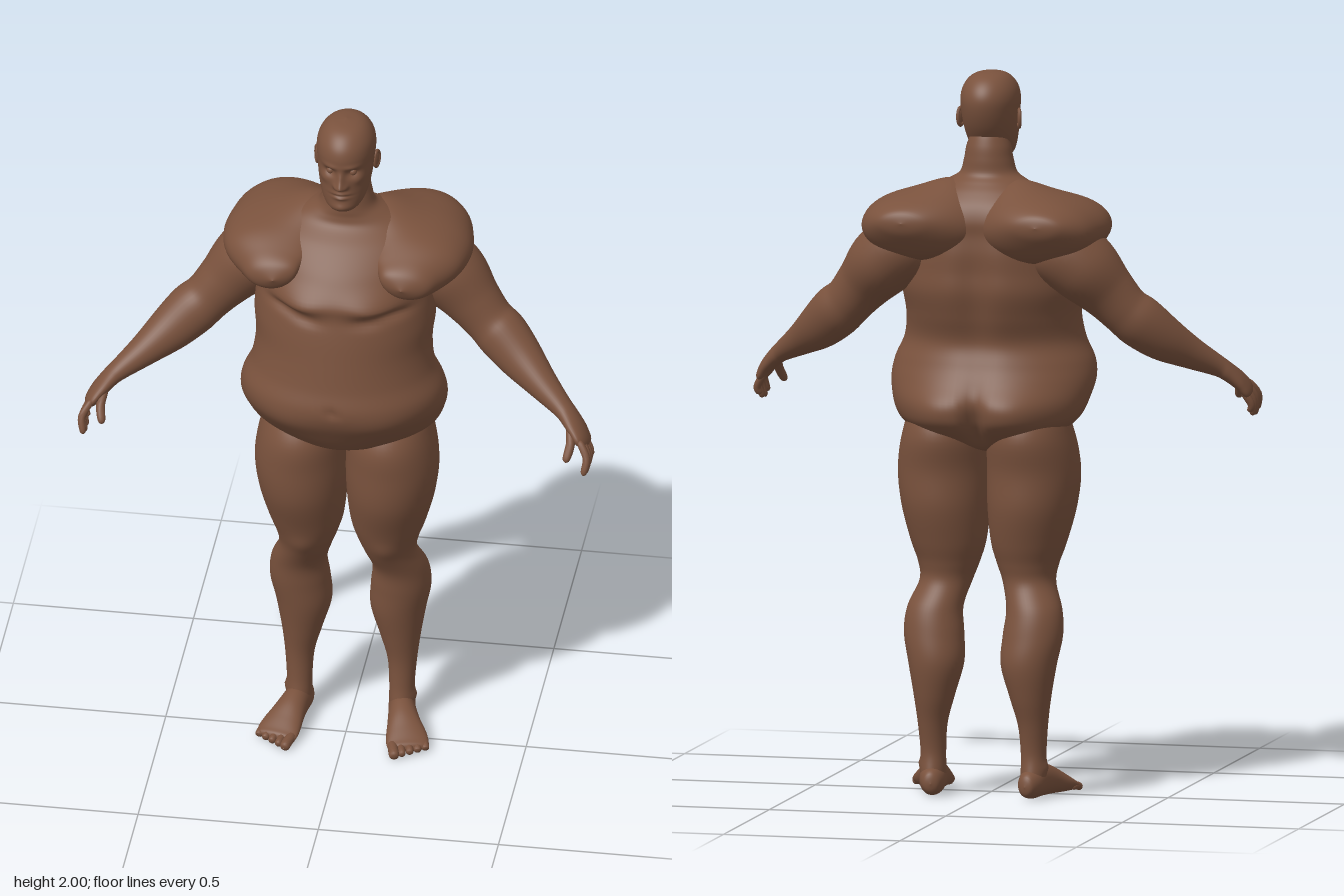
import * as THREE from 'three';

const V = (x, y, z) => new THREE.Vector3(x, y, z);
const UP = V(0, 1, 0), DOWN = V(0, -1, 0), FRONT = V(0, 0, 1);

// Smooth interpolation through a list of equal-length rows
function sample(rows, f) {
  const n = rows.length - 1, i = Math.min(Math.floor(f * n), n - 1), t = f * n - i;
  const at = k => rows[Math.max(0, Math.min(n, k))];
  const [a, b, c, d] = [at(i - 1), at(i), at(i + 1), at(i + 2)];
  return b.map((q, k) => q + 0.5 * t * (c[k] - a[k] + t * (2 * a[k] - 5 * q + 4 * c[k] - d[k]
    + t * (3 * (q - c[k]) + d[k] - a[k]))));
}

// Loft of oval rings; row = [x, y, z, radius along ref, radius across]
// dir: fixed ring normal along the rows, or null to follow the path. bumps: [x,y,z, sx,sy,sz, push x,y,z], mirrored.
function loft(rows, { ref = FRONT, dir = null, seg = 32, rings = 40, bumps = [], side = 1, floor = -1 } = {}) {
  const pos = [], idx = [];
  for (let i = 0; i <= rings; i++) {
    const f = i / rings, s = sample(rows, f);
    const a = sample(rows, Math.max(0, f - 0.01)), b = sample(rows, Math.min(1, f + 0.01));
    const t = dir ? dir.clone() : V(b[0] - a[0], b[1] - a[1], b[2] - a[2]).normalize();
    const u = ref.clone().addScaledVector(t, -ref.dot(t)).normalize();
    const v = t.clone().cross(u);
    for (let j = 0; j < seg; j++) {
      const w = j / seg * Math.PI * 2;
      const p = V(s[0], s[1], s[2])
        .addScaledVector(u, Math.max(s[3], 0.0003) * Math.cos(w))
        .addScaledVector(v, Math.max(s[4], 0.0003) * Math.sin(w));
      const q = p.clone();
      for (const [x, y, z, sx, sy, sz, dx, dy, dz] of bumps) {
        for (const m of x ? [1, -1] : [1]) {
          const g = Math.exp(-(((p.x - m * x) / sx) ** 2) - ((p.y - y) / sy) ** 2 - ((p.z - z) / sz) ** 2);
          q.add(V(dx * m * g, dy * g, dz * g));
        }
      }
      pos.push(q.x * side, Math.max(q.y, floor), q.z);
    }
  }
  for (let i = 0; i < rings; i++) for (let j = 0; j < seg; j++) {
    const k = (j + 1) % seg, a = i * seg + j, b = i * seg + k, c = a + seg, d = b + seg;
    if (side > 0) idx.push(a, b, c, b, d, c);
    else idx.push(a, c, b, b, c, d);
  }
  const geo = new THREE.BufferGeometry();
  geo.setAttribute('position', new THREE.Float32BufferAttribute(pos, 3));
  geo.setIndex(idx);
  geo.computeVertexNormals();
  return geo;
}

// Rounded finger-like shape along three points
const digit = (a, m, b, r, side, floor = -1) => loft([
  [...a, 0, 0], [...a.map((q, k) => q * 0.8 + m[k] * 0.2), r * 0.9, r * 0.9], [...m, r, r],
  [...b.map((q, k) => q * 0.8 + m[k] * 0.2), r * 0.85, r * 0.85], [...b, 0, 0],
], { seg: 12, rings: 16, side, floor });

export function createModel() {
  const model = new THREE.Group();
  const skin = new THREE.MeshStandardMaterial({ color: 0x7a523d });
  skin.name = 'brown skin';
  const add = (name, geo, parent = model) => {
    const mesh = new THREE.Mesh(geo, skin);
    mesh.name = name;
    parent.add(mesh);
    return mesh;
  };

  // Torso and neck
  add('torso', loft([
    [0, 0.945, -0.03, 0, 0], [0, 0.965, -0.03, 0.085, 0.1], [0, 1.0, -0.03, 0.138, 0.19],
    [0, 1.03, -0.03, 0.168, 0.235], [0, 1.06, -0.018, 0.192, 0.26], [0, 1.1, 0.0, 0.213, 0.275],
    [0, 1.15, 0.028, 0.22, 0.285], [0, 1.2, 0.045, 0.215, 0.278], [0, 1.26, 0.046, 0.2, 0.252],
    [0, 1.33, 0.027, 0.206, 0.243], [0, 1.4, 0.01, 0.21, 0.25], [0, 1.46, 0.003, 0.203, 0.246],
    [0, 1.51, -0.003, 0.197, 0.238], [0, 1.56, -0.013, 0.18, 0.235], [0, 1.6, -0.028, 0.163, 0.235],
    [0, 1.64, -0.04, 0.135, 0.215], [0, 1.675, -0.048, 0.098, 0.165], [0, 1.7, -0.04, 0.079, 0.115],
    [0, 1.722, -0.03, 0.068, 0.08], [0, 1.76, -0.03, 0.064, 0.068],
    [0, 1.8, -0.03, 0.058, 0.06], [0, 1.84, -0.03, 0.04, 0.04], [0, 1.85, -0.03, 0, 0],
  ], {
    dir: UP, seg: 96, rings: 132, bumps: [
      [0.11, 1.06, -0.19, 0.09, 0.07, 0.12, 0, 0, -0.03],     // buttocks
      [0, 1.03, -0.21, 0.025, 0.08, 0.1, 0, 0, 0.04],         // cleft
      [0, 1.4, -0.21, 0.05, 0.2, 0.1, 0, 0, 0.022],           // spine
      [0.1, 1.515, 0.18, 0.085, 0.03, 0.1, 0, -0.01, 0.024],  // chest
      [0.085, 1.46, 0.19, 0.045, 0.016, 0.1, 0, 0, -0.01],    // folds under the chest
      [0.155, 1.478, 0.16, 0.05, 0.016, 0.1, 0, 0, -0.016],
      [0, 1.2, 0.26, 0.014, 0.014, 0.05, 0, 0, -0.008],       // navel
      [0.13, 1.14, 0.2, 0.1, 0.05, 0.1, 0, 0, 0.01],          // belly roll
      [0, 1.05, 0.17, 0.13, 0.06, 0.12, 0, -0.025, 0],        // belly sagging in the middle
    ],
  }));

  // Head with face
  const head = new THREE.Group();
  head.name = 'head';
  model.add(head);
  add('skull', loft([
    [0, 1.748, 0.045, 0, 0], [0, 1.752, 0.045, 0.035, 0.03], [0, 1.764, 0.038, 0.056, 0.047],
    [0, 1.785, 0.026, 0.07, 0.06], [0, 1.815, 0.012, 0.085, 0.069], [0, 1.85, 0, 0.098, 0.075],
    [0, 1.89, -0.008, 0.107, 0.079], [0, 1.925, -0.01, 0.11, 0.081], [0, 1.955, -0.01, 0.1, 0.075],
    [0, 1.98, -0.01, 0.077, 0.059], [0, 1.994, -0.01, 0.046, 0.036], [0, 2.0, -0.01, 0, 0],
  ], {
    dir: UP, seg: 128, rings: 110, bumps: [
      [0, 1.848, 0.1, 0.013, 0.013, 0.05, 0, -0.003, 0.022],     // nose tip
      [0, 1.868, 0.1, 0.01, 0.02, 0.05, 0, 0, 0.011],            // nose bridge
      [0.013, 1.843, 0.1, 0.008, 0.008, 0.04, 0.002, 0, 0.007],  // nostrils
      [0.031, 1.882, 0.09, 0.017, 0.012, 0.05, 0, 0, -0.013],    // eye sockets
      [0.03, 1.902, 0.09, 0.022, 0.008, 0.05, 0, 0, 0.005],      // brows
      [0.048, 1.858, 0.07, 0.016, 0.014, 0.05, 0.002, 0, 0.004], // cheekbones
      [0, 1.818, 0.1, 0.022, 0.006, 0.05, 0, 0, 0.006],          // upper lip
      [0, 1.811, 0.1, 0.024, 0.003, 0.05, 0, 0, -0.005],         // mouth line
      [0, 1.804, 0.1, 0.019, 0.006, 0.05, 0, 0, 0.006],          // lower lip
      [0, 1.773, 0.09, 0.022, 0.012, 0.05, 0, 0, 0.006],         // chin
    ],
  }), head);

  for (const side of [1, -1]) {
    const tag = side > 0 ? 'left' : 'right';
    const group = name => {
      const g = new THREE.Group();
      g.name = tag + name;
      model.add(g);
      return g;
    };

    // Eye and ear
    const eye = add(tag + 'Eye', new THREE.SphereGeometry(0.011, 20, 14), head);
    eye.position.set(side * 0.031, 1.882, 0.075);
    const ear = group('Ear');
    const rim = add('earRim', new THREE.TorusGeometry(0.018, 0.005, 8, 24), ear);
    rim.scale.set(0.8, 1.3, 1);
    const bowl = add('earBowl', new THREE.SphereGeometry(0.017, 16, 12), ear);
    bowl.scale.set(0.8, 1.3, 0.3);
    ear.position.set(side * 0.083, 1.87, -0.018);
    ear.rotation.y = side * (Math.PI / 2 - 0.35);

    // Swollen shoulder reaching in to the neck and down over the shoulder blade
    add(tag + 'Shoulder', loft([
      [0.19, 1.6, -0.262, 0, 0], [0.188, 1.598, -0.248, 0.036, 0.07], [0.172, 1.582, -0.19, 0.08, 0.142],
      [0.155, 1.578, -0.11, 0.098, 0.183], [0.158, 1.58, -0.03, 0.094, 0.186], [0.188, 1.58, 0.05, 0.077, 0.138],
      [0.19, 1.568, 0.11, 0.06, 0.09], [0.183, 1.562, 0.15, 0.038, 0.06], [0.178, 1.56, 0.17, 0, 0],
    ], {
      ref: UP, dir: FRONT, seg: 56, rings: 60, side, bumps: [
        [0.08, 1.68, -0.06, 0.09, 0.07, 0.1, 0, 0.036, 0],  // slope up to the neck
        [0.1, 1.56, 0.1, 0.07, 0.06, 0.08, 0, 0.025, 0],    // groove beside the chest
      ],
    }));

    // Arm running into the palm
    const arm = group('Arm');
    add('armAndPalm', loft([
      [0.15, 1.57, -0.085, 0, 0], [0.2, 1.54, -0.085, 0.1, 0.09], [0.28, 1.475, -0.08, 0.108, 0.098],
      [0.345, 1.405, -0.061, 0.078, 0.079], [0.39, 1.355, -0.048, 0.067, 0.07], [0.43, 1.32, -0.032, 0.068, 0.073],
      [0.485, 1.273, 0.002, 0.06, 0.064], [0.55, 1.228, 0.052, 0.046, 0.045],
      [0.61, 1.19, 0.098, 0.034, 0.03], [0.635, 1.172, 0.116, 0.036, 0.025], [0.665, 1.143, 0.142, 0.044, 0.021],
      [0.685, 1.115, 0.16, 0.042, 0.016], [0.692, 1.1, 0.166, 0, 0],
    ], { seg: 36, rings: 78, side }));
    for (let i = 0; i < 4; i++) {
      const o = (i - 1.5) * 0.021, len = [0.056, 0.07, 0.072, 0.06][i];
      add('finger', digit(
        [0.676, 1.13 + o * 0.3, 0.156 + o], [0.7, 1.088 + o * 0.3, 0.176 + o * 1.2],
        [0.694, 1.112 - len, 0.19 + o * 1.35], 0.0105, side), arm);
    }
    add('thumb', digit([0.645, 1.16, 0.145], [0.652, 1.125, 0.19], [0.643, 1.085, 0.225], 0.0125, side), arm);

    // Leg, from the hip down
    const leg = group('Leg');
    add('thighAndCalf', loft([
      [0.12, 1.11, -0.04, 0, 0], [0.12, 1.08, -0.04, 0.1, 0.085], [0.121, 1.0, -0.031, 0.153, 0.117],
      [0.126, 0.9, -0.022, 0.149, 0.128], [0.122, 0.8, -0.025, 0.143, 0.122], [0.114, 0.7, -0.03, 0.112, 0.104],
      [0.112, 0.64, -0.032, 0.09, 0.085], [0.118, 0.59, -0.04, 0.077, 0.073], [0.14, 0.52, -0.073, 0.077, 0.077],
      [0.14, 0.45, -0.088, 0.08, 0.083], [0.131, 0.37, -0.099, 0.079, 0.077], [0.136, 0.28, -0.1, 0.062, 0.057],
      [0.142, 0.2, -0.095, 0.044, 0.041], [0.142, 0.12, -0.088, 0.037, 0.035], [0.142, 0.06, -0.088, 0.045, 0.035],
      [0.142, 0.02, -0.092, 0.036, 0.03], [0.142, 0.01, -0.092, 0, 0],
    ], {
      dir: DOWN, seg: 48, rings: 96, side, bumps: [
        [0.115, 0.63, 0.05, 0.035, 0.035, 0.04, 0, 0, 0.008],  // kneecap
        [0.19, 0.085, -0.088, 0.03, 0.015, 0.02, 0.008, 0, 0], // ankle bone
      ],
    }), leg);

    // Foot and toes
    add('foot', loft([
      [0.133, 0.036, -0.155, 0, 0], [0.134, 0.038, -0.146, 0.028, 0.022], [0.139, 0.042, -0.11, 0.042, 0.036],
      [0.147, 0.047, -0.06, 0.047, 0.038], [0.159, 0.041, -0.01, 0.041, 0.045], [0.173, 0.028, 0.035, 0.028, 0.056],
      [0.181, 0.019, 0.065, 0.018, 0.058], [0.185, 0.016, 0.08, 0.012, 0.05], [0.186, 0.015, 0.086, 0, 0],
    ], { ref: UP, dir: V(0.25, 0, 0.97).normalize(), seg: 36, rings: 44, side, floor: 0 }), leg);
    for (let i = 0; i < 5; i++) {
      const o = -0.04 + i * 0.0215, len = 0.045 - i * 0.005, r = i ? 0.011 : 0.0145;
      const at = (f, y) => [0.181 + o * 0.97 + f * 0.25, y, 0.066 - o * 0.4 + f * 0.97];
      add('toe', digit(at(-0.02, 0.018), at(len * 0.5, 0.016), at(len, 0.009), r, side, 0), leg);
    }
  }
  return model;
}
